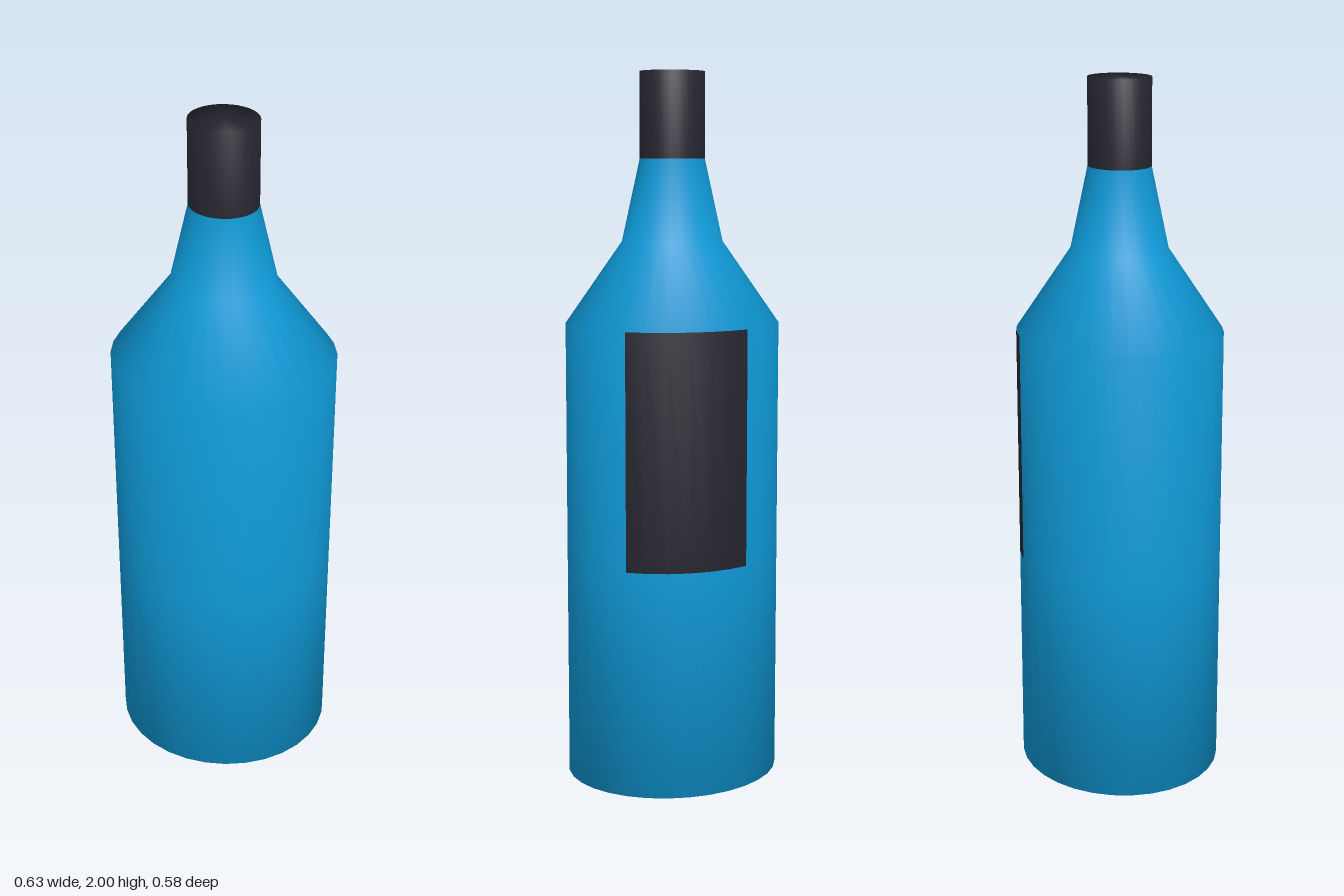
import * as THREE from 'three';

const SEGMENTS = 32;

// Bottle outline from the base centre to the top centre: radius, height
const PROFILE = [
  [0, 0], [0.315, 0], [0.315, 0.64], [0.315, 1.3],
  [0.148, 1.53], [0.095, 1.76], [0.095, 2], [0, 2],
].map(([r, y]) => new THREE.Vector2(r, y));

export function createModel() {
  const glass = new THREE.MeshStandardMaterial({ color: 0x0f9ad8 });
  glass.name = 'blueGlass';
  const dark = new THREE.MeshStandardMaterial({ color: 0x25242f });
  dark.name = 'darkCapAndLabel';

  // One slightly oval lathe, so that all parts share smooth normals
  const lathe = new THREE.LatheGeometry(PROFILE, SEGMENTS);
  lathe.scale(1, 1, 0.92);
  const bands = PROFILE.length - 1;

  const isCap = (segment, band) => band >= 5;
  const isLabel = (segment, band) => band === 2 && segment >= 10 && segment < 16;

  const group = new THREE.Group();
  group.name = 'bottle';

  // Makes a mesh from the lathe faces that pass the test
  function addPart(name, material, test) {
    const source = lathe.index.array;
    const index = [];
    for (let s = 0; s < SEGMENTS; s++) {
      for (let b = 0; b < bands; b++) {
        const start = 6 * (s * bands + b);
        if (test(s, b)) index.push(...source.slice(start, start + 6));
      }
    }
    const geometry = lathe.clone();
    geometry.setIndex(index);
    const mesh = new THREE.Mesh(geometry, material);
    mesh.name = name;
    group.add(mesh);
  }

  addPart('body', glass, (s, b) => !isCap(s, b) && !isLabel(s, b));
  addPart('cap', dark, isCap);
  addPart('label', dark, isLabel);

  return group;
}
